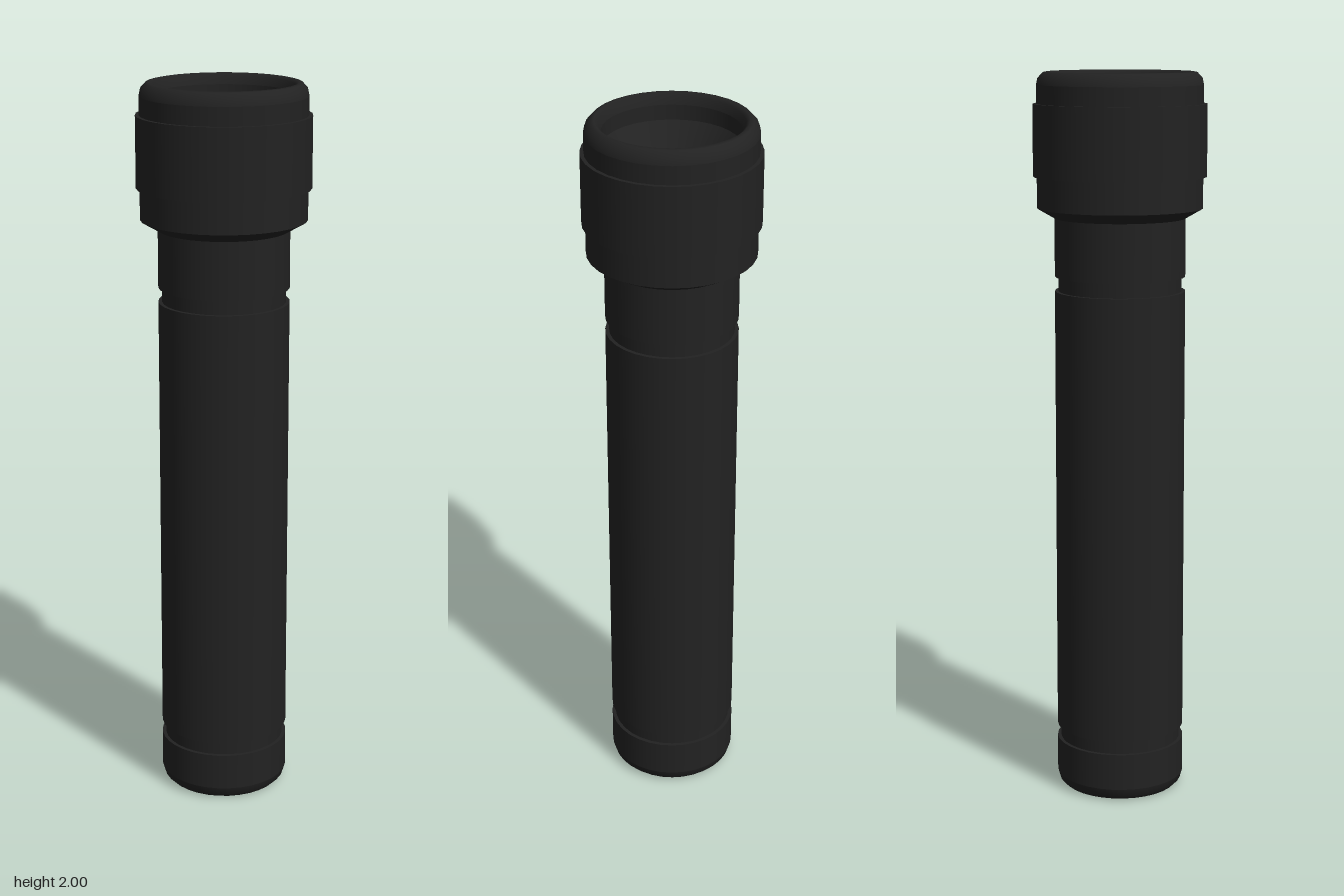
import * as THREE from 'three';
import { mergeGeometries } from 'three/addons/utils/BufferGeometryUtils.js';

const SIDES = 32;

// Turned part: each run of [radius, y] points is smooth, with a sharp edge between runs.
// Runs go outwards along the bottom, up the outside and inwards over the top.
function turned(name, material, runs) {
  const parts = runs.map(run =>
    new THREE.LatheGeometry(run.map(([r, y]) => new THREE.Vector2(r, y)), SIDES));
  const mesh = new THREE.Mesh(mergeGeometries(parts), material);
  mesh.name = name;
  return mesh;
}

// Sharp-edged profile: one run per straight segment
const sharp = pts => pts.slice(1).map((p, i) => [pts[i], p]);

export function createModel() {
  const group = new THREE.Group();
  group.name = 'flashlight';
  const black = new THREE.MeshStandardMaterial({ color: 0x222222 });
  const grey = new THREE.MeshStandardMaterial({ color: 0xcccccc });

  // Tail cap with a recessed end and rounded lower edge
  group.add(turned('tailCap', black, [
    ...sharp([[0, 0.03], [0.1, 0.03], [0.122, 0.003]]),
    [[0.122, 0.003], [0.14, 0], [0.16, 0.002], [0.172, 0.014], [0.178, 0.035]],
    ...sharp([[0.178, 0.035], [0.178, 0.137], [0.168, 0.137]]),
  ]));

  // Barrel with a narrow groove at each end
  group.add(turned('barrel', black, sharp([
    [0.168, 0.137], [0.168, 0.175], [0.178, 0.175], [0.178, 1.412],
    [0.168, 1.412], [0.168, 1.452],
  ])));

  // Neck and stepped head with a rounded rim
  group.add(turned('head', black, [
    ...sharp([[0.168, 1.452], [0.178, 1.452], [0.178, 1.61], [0.225, 1.637],
      [0.225, 1.722], [0.235, 1.722], [0.235, 1.915], [0.225, 1.915], [0.225, 1.965]]),
    [[0.225, 1.965], [0.221, 1.983], [0.207, 1.998], [0.197, 2], [0.187, 1.992], [0.18, 1.97]],
  ]));

  // Conical reflector inside the head
  group.add(turned('reflector', black, sharp([[0.18, 1.97], [0.178, 1.93], [0, 1.68]])));

  // Small round bulb
  const bulb = new THREE.Mesh(new THREE.SphereGeometry(0.025, 20, 14), grey);
  bulb.name = 'bulb';
  bulb.position.set(-0.004, 1.72, -0.005);
  group.add(bulb);

  return group;
}
